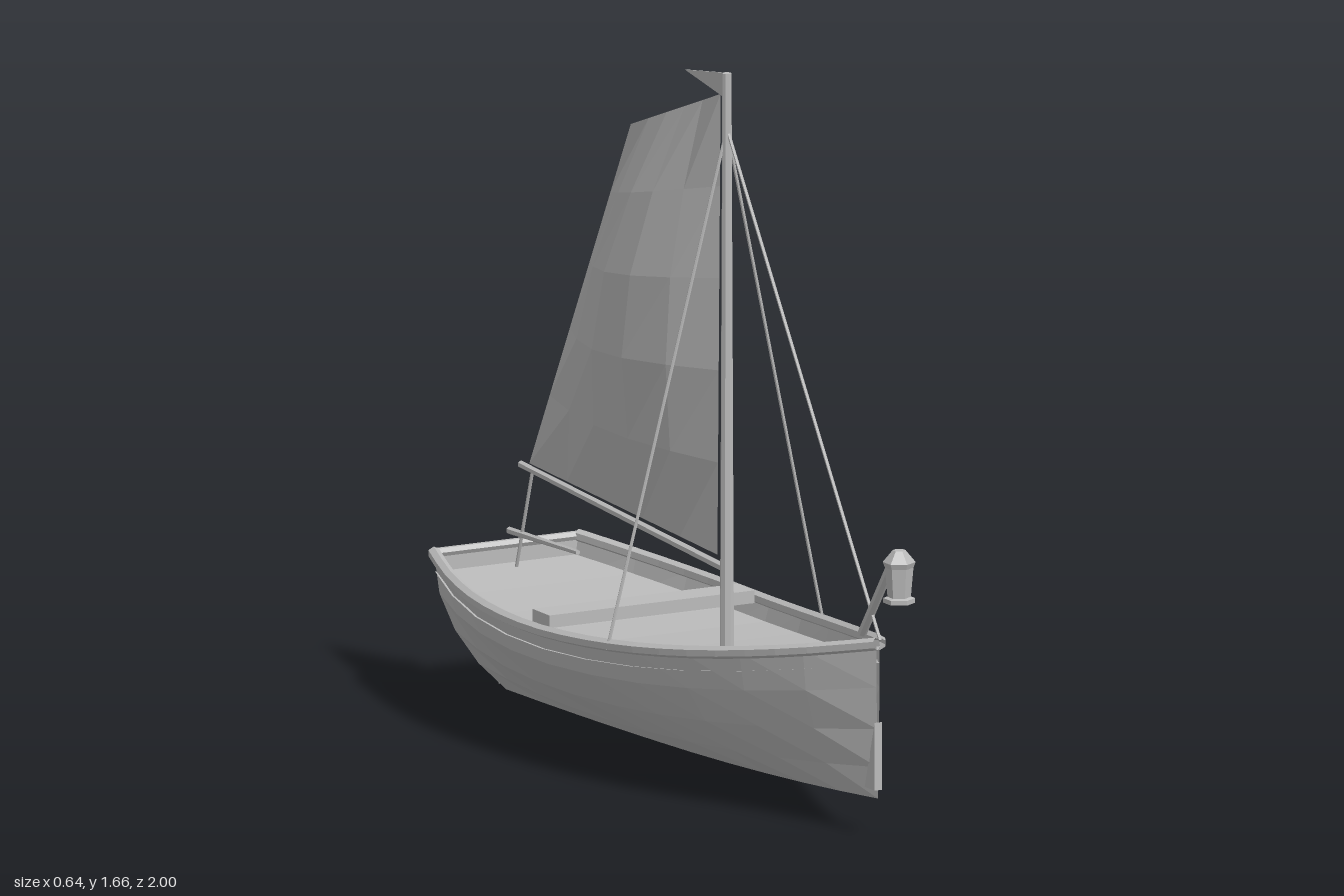
import * as THREE from 'three';
import { ParametricGeometry } from 'three/addons/geometries/ParametricGeometry.js';

const V = (x, y, z) => new THREE.Vector3(x, y, z);

// Hull stations from bow to stern: half beam, sheer height, keel height
const BEAM = [0.004, 0.1, 0.17, 0.225, 0.265, 0.29, 0.303, 0.302, 0.283, 0.245, 0.19];
const SHEER = [0.455, 0.417, 0.384, 0.357, 0.336, 0.321, 0.312, 0.311, 0.316, 0.327, 0.343];
const KEEL = [0.09, 0.073, 0.058, 0.045, 0.034, 0.025, 0.018, 0.012, 0.007, 0.003, 0];
const LAST = BEAM.length - 1;
const ROWS = 4;
const stationZ = (i) => 0.86 - 0.176 * i;

// Point on the hull skin; t runs from keel (0) to sheer (1)
function skin(i, t, side) {
  const x = BEAM[i] * Math.sin(t * Math.PI / 2);
  const y = KEEL[i] + (SHEER[i] - KEEL[i]) * Math.pow(t, 1.15);
  return V(x * side, y, stationZ(i));
}

export function createModel() {
  const boat = new THREE.Group();
  boat.name = 'sailingBoat';
  const grey = new THREE.MeshStandardMaterial({ color: 0xbbbbbb, flatShading: true, side: THREE.DoubleSide });
  grey.name = 'plain grey';

  function add(name, geometry) {
    const mesh = new THREE.Mesh(geometry, grey);
    mesh.name = name;
    boat.add(mesh);
    return mesh;
  }
  function surface(name, fn, slices, stacks) {
    return add(name, new ParametricGeometry((u, v, p) => p.copy(fn(u, v)), slices, stacks));
  }
  // Straight round bar between two points
  function bar(name, a, b, r0, r1 = r0, sides = 6) {
    const g = new THREE.CylinderGeometry(r1, r0, a.distanceTo(b), sides);
    const mesh = add(name, g);
    mesh.position.copy(a).add(b).multiplyScalar(0.5);
    mesh.quaternion.setFromUnitVectors(V(0, 1, 0), b.clone().sub(a).normalize());
    return mesh;
  }
  // Upright plate on the centre line, outlined by [z, y] points
  function plate(name, points, thickness) {
    const shape = new THREE.Shape(points.map(([z, y]) => new THREE.Vector2(-z, y)));
    const g = new THREE.ExtrudeGeometry(shape, { depth: thickness, bevelEnabled: false });
    g.translate(0, 0, -thickness / 2);
    g.rotateY(Math.PI / 2);
    return add(name, g);
  }

  // Hull skin, from one sheer around the keel to the other
  surface('hull', (u, v) => {
    const s = 2 * v - 1;
    return skin(Math.round(u * LAST), Math.abs(s), s < 0 ? -1 : 1);
  }, LAST, ROWS * 2);

  // Transom
  surface('transom', (u, v) => skin(LAST, v, 2 * u - 1), 1, ROWS);

  // Deck, set a little below the sheer
  surface('deck', (u, v) => {
    const i = Math.round(v * LAST);
    const drop = 0.045;
    const t = Math.pow(1 - drop / (SHEER[i] - KEEL[i]), 1 / 1.15);
    const p = skin(i, t, 2 * u - 1);
    return p;
  }, 1, LAST);

  // Rails along both sheers and across the stern
  for (const side of [1, -1]) {
    const path = new THREE.CatmullRomCurve3(BEAM.map((_, i) => skin(i, 1, side)));
    add(side > 0 ? 'leftRail' : 'rightRail', new THREE.TubeGeometry(path, 20, 0.015, 6, false));
  }
  bar('sternRail', skin(LAST, 1, -1), skin(LAST, 1, 1), 0.011);

  // Seat plank
  const seat = add('seat', new THREE.BoxGeometry(0.54, 0.03, 0.08));
  seat.position.set(0, 0.325, -0.25);

  // Stem plate and rudder
  plate('stemPlate', [[0.862, 0.27], [0.838, 0.19], [0.815, 0.11], [0.862, 0.11]], 0.02);
  plate('rudder', [[-0.9, 0.33], [-1, 0.135], [-0.92, 0.01]], 0.016);
  bar('tiller', V(0, 0.378, -0.885), V(0, 0.39, -0.56), 0.009, 0.006);

  // Mast, boom and flag
  bar('mast', V(0, 0.28, 0.145), V(0, 1.66, 0.145), 0.017, 0.011, 8);
  bar('boom', V(0, 0.49, 0.14), V(0, 0.545, -0.83), 0.011, 0.009);
  plate('flag', [[0.14, 1.66], [-0.05, 1.63], [0.14, 1.6]], 0.004);

  // Sail, bellied to one side
  const tack = V(0, 0.515, 0.1), clew = V(0, 0.555, -0.79);
  const throat = V(0, 1.605, 0.115), peak = V(0, 1.45, -0.31);
  surface('sail', (u, v) => {
    const p = tack.clone().lerp(clew, u).lerp(throat.clone().lerp(peak, u), v);
    p.x = -0.11 * Math.sin(Math.PI * u) * Math.sin(Math.PI * v);
    return p;
  }, 5, 5);

  // Rigging lines
  const hounds = V(0, 1.53, 0.145);
  bar('forestay', hounds, V(0, 0.465, 0.87), 0.004);
  bar('leftShroud', hounds, V(0.285, 0.32, 0.09), 0.004);
  bar('rightShroud', hounds, V(-0.285, 0.32, 0.09), 0.004);
  bar('mainsheet', V(0, 0.54, -0.775), V(0, 0.3, -0.85), 0.004);

  // Bow lantern on its arm
  bar('lanternArm', V(0, 0.465, 0.785), V(0, 0.67, 0.935), 0.011);
  const profile = [[0, 0.572], [0.037, 0.572], [0.037, 0.583], [0.027, 0.586], [0.033, 0.655],
    [0.038, 0.668], [0.015, 0.696], [0, 0.696]].map(([r, y]) => new THREE.Vector2(r, y));
  add('lantern', new THREE.LatheGeometry(profile, 6)).position.z = 0.96;

  return boat;
}
